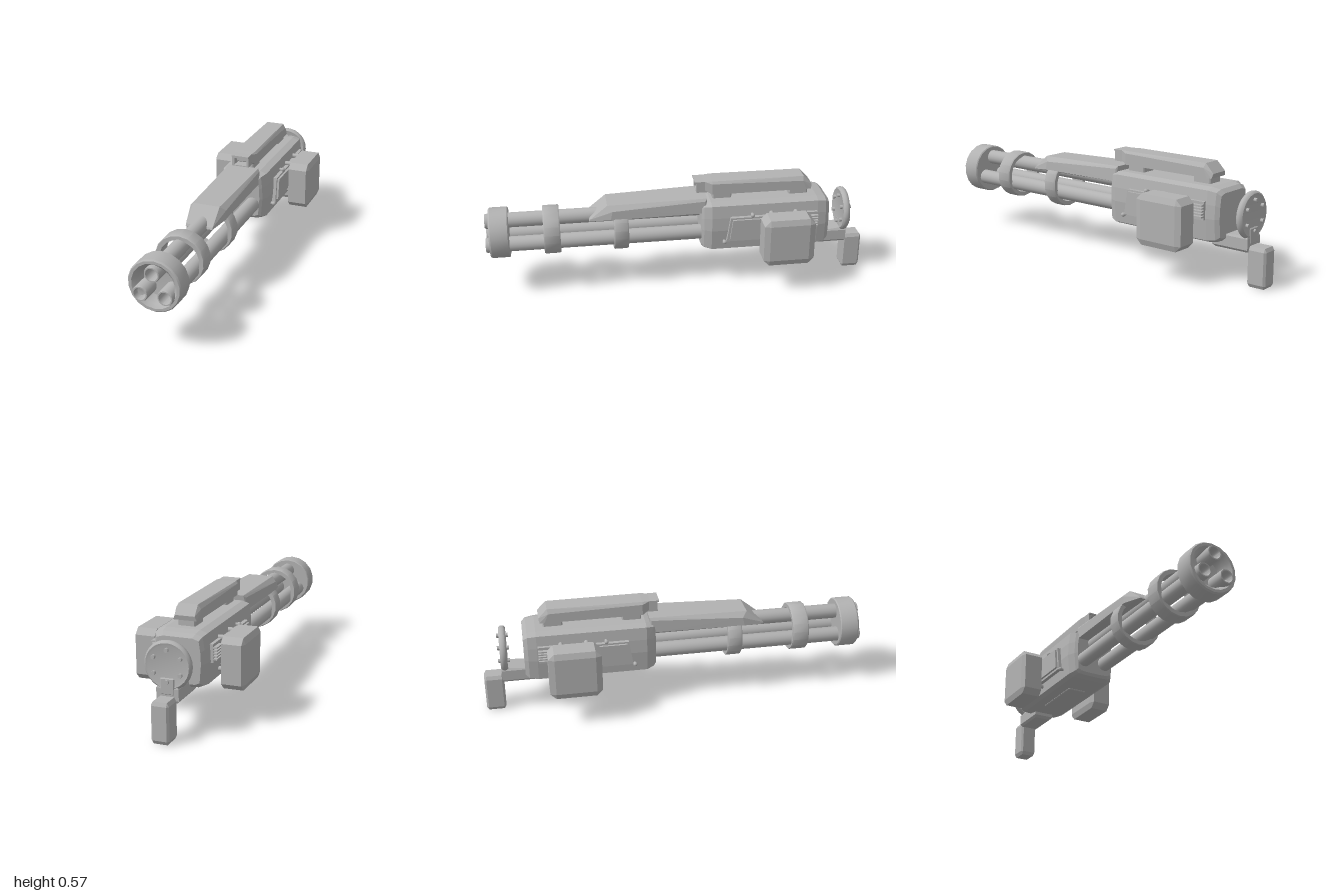
import * as THREE from 'three';
import { toCreasedNormals } from 'three/addons/utils/BufferGeometryUtils.js';
import { ConvexGeometry } from 'three/addons/geometries/ConvexGeometry.js';

export function createModel() {
  const model = new THREE.Group();
  const metal = new THREE.MeshStandardMaterial({ color: 0xb2b2b2 });
  metal.name = 'grey metal';

  const add = (name, geo, x = 0, y = 0, z = 0) => {
    const m = new THREE.Mesh(geo, metal);
    m.name = name;
    m.position.set(x, y, z);
    model.add(m);
    return m;
  };
  // Convex solid from half its corners, mirrored across x
  const hull = (pts) => new ConvexGeometry(
    pts.flatMap(([x, y, z]) => [new THREE.Vector3(x, y, z), new THREE.Vector3(-x, y, z)]));
  // Box with cut edges: a separate cut per axis
  const cutBox = (w, h, d, cx, cy = cx, cz = cx) => {
    const pts = [];
    for (const sy of [-1, 1]) for (const sz of [-1, 1]) {
      pts.push([w / 2 - cx, sy * h / 2, sz * (d / 2 - cz)],
        [w / 2, sy * (h / 2 - cy), sz * (d / 2 - cz)],
        [w / 2 - cx, sy * (h / 2 - cy), sz * d / 2]);
    }
    return hull(pts);
  };
  // Turned part along z, from [radius, z] points
  const turned = (profile, sides) => toCreasedNormals(
    new THREE.LatheGeometry(profile.map(([r, z]) => new THREE.Vector2(r, z)), sides)
      .rotateX(Math.PI / 2), 0.6);
  const box = (w, h, d) => new THREE.BoxGeometry(w, h, d);

  // Three hollow barrels
  const axisY = 0.325;
  for (let i = 0; i < 3; i++) {
    const a = Math.PI / 2 + i * Math.PI * 2 / 3;
    add('barrel', turned([[0.039, -0.2], [0.039, 0.992], [0.036, 1], [0.03, 1],
      [0.027, 0.99], [0.027, 0.85], [0, 0.85]], 20),
    Math.cos(a) * 0.071, axisY + Math.sin(a) * 0.071, 0);
  }

  // Muzzle cup and the two barrel clamps
  add('muzzleCup', turned([[0, 0.88], [0.127, 0.88], [0.132, 0.885], [0.132, 0.972],
    [0.126, 0.98], [0.112, 0.98], [0.096, 0.965], [0.088, 0.945], [0.084, 0.91],
    [0, 0.9]], 18), 0, 0.328, 0);
  for (const [z0, z1] of [[0.62, 0.705], [0.27, 0.345]]) {
    add('barrelClamp', turned([[0.102, z0], [0.123, z0], [0.127, z0 + 0.006],
      [0.127, z1 - 0.006], [0.123, z1], [0.102, z1], [0.102, z0]], 18), 0, 0.328, 0);
  }

  // Receiver, lofted through rounded ends
  const outline = [[0.085, 0.467], [0.122, 0.455], [0.131, 0.39], [0.134, 0.32],
    [0.125, 0.212], [0.1, 0.2], [0.05, 0.197]];
  const stations = [[-0.11, 0.76, 0.83], [-0.122, 0.86, 0.93], [-0.16, 1, 1],
    [-0.72, 1, 1], [-0.765, 0.95, 0.95], [-0.785, 0.85, 0.82]];
  add('receiver', hull(stations.flatMap(([z, sx, sy]) =>
    outline.map(([x, y]) => [x * sx, 0.332 + (y - 0.332) * sy, z]))));
  add('bellyPlate', cutBox(0.1, 0.012, 0.3, 0.004), 0, 0.197, -0.45);

  // Sloped cover above the barrels
  add('barrelCover', hull([
    [0.07, 0.392, 0.47], [0.07, 0.402, 0.465], [0.097, 0.405, 0.36], [0.097, 0.41, -0.13],
    [0.095, 0.45, 0.35], [0.07, 0.475, 0.375], [0.093, 0.475, -0.13], [0.083, 0.488, -0.14],
  ]));

  // Top rail with its open front frame and two feet
  add('rail', hull([
    [0.045, 0.52, -0.13], [0.045, 0.565, -0.13], [0.062, 0.497, -0.17], [0.062, 0.555, -0.17],
    [0.052, 0.567, -0.17], [0.062, 0.497, -0.67], [0.058, 0.497, -0.695],
    [0.062, 0.545, -0.65], [0.048, 0.567, -0.655], [0.05, 0.52, -0.7],
  ]));
  const rect = (Type, w, y0, y1) => new Type([[-w, y0], [w, y0], [w, y1], [-w, y1]]
    .map(([x, y]) => new THREE.Vector2(x, y)));
  const frame = rect(THREE.Shape, 0.047, 0.506, 0.561);
  frame.holes.push(rect(THREE.Path, 0.034, 0.511, 0.549));
  add('railFrame', new THREE.ExtrudeGeometry(frame, { depth: 0.06, bevelEnabled: false }),
    0, 0, -0.15);
  add('railHood', box(0.094, 0.008, 0.07), 0, 0.561, -0.117);
  for (const z of [-0.225, -0.63]) add('railFoot', cutBox(0.088, 0.05, 0.1, 0.006), 0, 0.482, z);

  // Side gear, the same on both sides
  const rivet = new THREE.SphereGeometry(0.011, 12, 8);
  for (const s of [1, -1]) {
    add('ammoBox', cutBox(0.121, 0.255, 0.265, 0.011, 0.03, 0.03), s * 0.217, 0.2975, -0.54);

    // Slanted side panel with a raised face
    const panel = (y0, y1, z0, z1, z2, x0, x1) => {
      const p = [[y0, z0], [y1, z1], [y1, z2], [y0, z2]];
      return new ConvexGeometry(p.flatMap(([y, z]) =>
        [new THREE.Vector3(s * x0, y, z), new THREE.Vector3(s * x1, y, z)]));
    };
    add('sidePanel', panel(0.265, 0.397, -0.235, -0.255, -0.58, 0.12, 0.15));
    add('sidePanelFace', panel(0.277, 0.388, -0.25, -0.265, -0.57, 0.14, 0.161));

    for (const [y, z] of [[0.26, -0.225], [0.405, -0.37]]) {
      add('rivet', rivet, s * 0.145, y, z);
      const pin = add('rivetPin', new THREE.CylinderGeometry(0.008, 0.008, 0.04, 10), s * 0.13, y, z);
      pin.rotation.z = Math.PI / 2;
    }
    // Pegs that hold the ammunition box
    for (const y of [0.25, 0.405]) {
      for (const z of [-0.47, -0.6]) {
        const peg = add('boxPeg', new THREE.CylinderGeometry(0.012, 0.012, 0.07, 12), s * 0.14, y, z);
        peg.rotation.z = Math.PI / 2;
      }
    }
    // Slatted vent
    add('ventBase', box(0.03, 0.09, 0.11), s * 0.131, 0.358, -0.66);
    for (let i = 0; i < 5; i++) {
      add('ventSlat', box(0.032, 0.007, 0.07), s * 0.149, 0.33 + i * 0.014, -0.68);
    }
  }

  // Rear bracket, grip and bolted disc
  add('rearBracket', hull([
    [0.055, 0.18, -0.705], [0.045, 0.168, -0.72], [0.055, 0.235, -0.705],
    [0.045, 0.168, -0.9], [0.055, 0.18, -0.905], [0.055, 0.235, -0.905], [0.045, 0.25, -0.9],
  ]));
  add('discStem', cutBox(0.07, 0.08, 0.035, 0.005), 0, 0.245, -0.89);
  add('grip', cutBox(0.088, 0.2, 0.1, 0.01, 0.018, 0.01), 0, 0.1, -0.948);
  add('rearDisc', turned([[0, -0.902], [0.095, -0.902], [0.106, -0.905], [0.114, -0.898],
    [0.117, -0.888], [0.114, -0.877], [0.106, -0.87], [0.095, -0.873], [0, -0.873]], 28),
  0, 0.342, 0);
  for (let i = 0; i < 6; i++) {
    const a = i * Math.PI / 3 + Math.PI / 6;
    const bolt = add('discBolt', new THREE.CylinderGeometry(0.01, 0.01, 0.058, 10),
      Math.cos(a) * 0.075, 0.342 + Math.sin(a) * 0.075, -0.888);
    bolt.rotation.x = Math.PI / 2;
  }
  return model;
}
